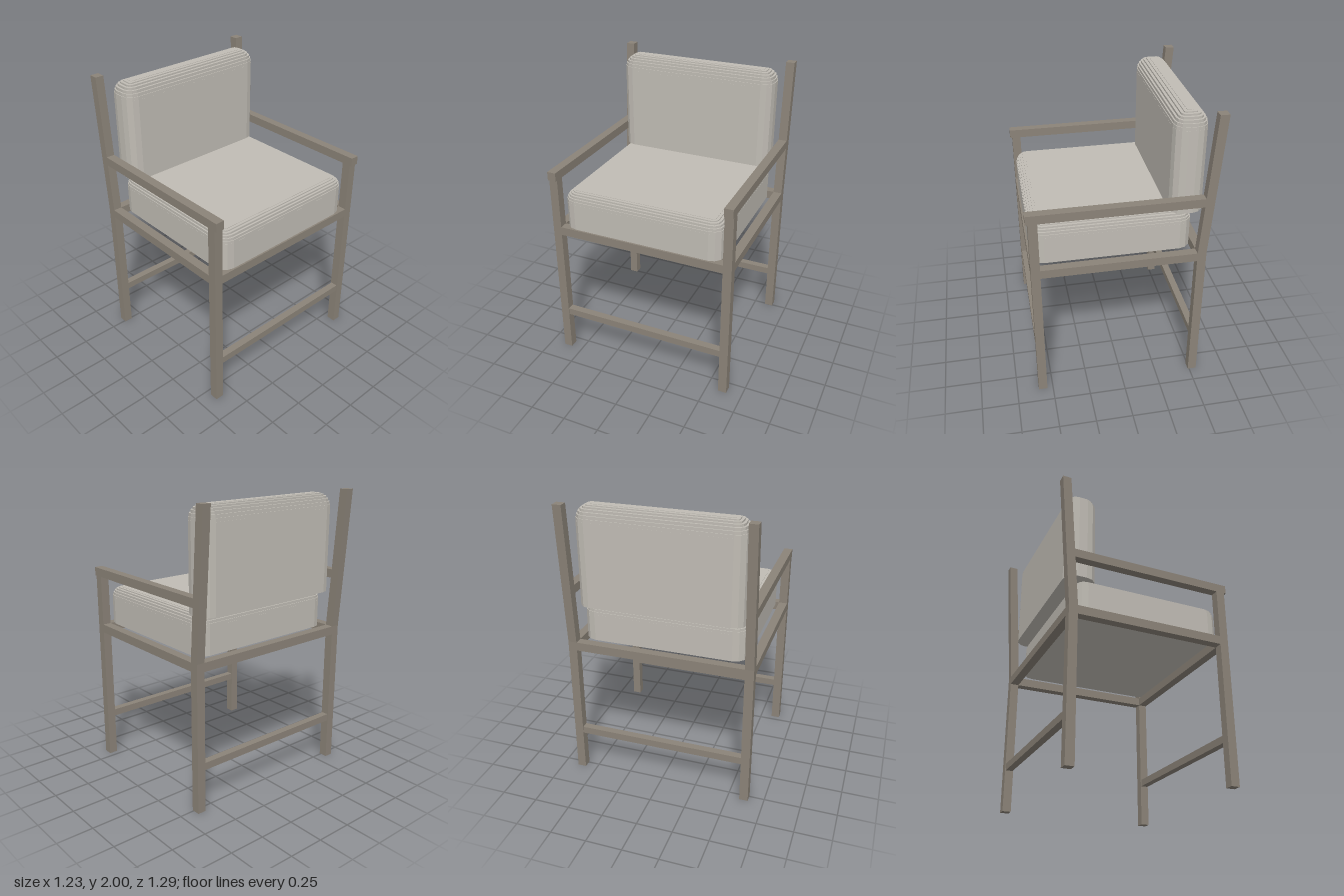
import * as THREE from 'three';
import { mergeGeometries } from 'three/addons/utils/BufferGeometryUtils.js';

const T = 0.06;          // bar thickness
const SIDE_Z = 0.614;    // centre of each side frame
const BACK_X = -0.52, FRONT_X = 0.57;

// Rounded rectangle outline with three facets per corner, in x / z
function outline(x0, x1, halfZ, r) {
  const pts = [];
  const corners = [[x1 - r, halfZ - r], [x0 + r, halfZ - r], [x0 + r, r - halfZ], [x1 - r, r - halfZ]];
  corners.forEach(([cx, cz], k) => {
    for (let i = 0; i <= 3; i++) {
      const a = (k + i / 3) * Math.PI / 2;
      pts.push(new THREE.Vector2(cx + r * Math.cos(a), cz + r * Math.sin(a)));
    }
  });
  return new THREE.Shape(pts);
}

// Upright slab of the outline between two heights
function slab(shape, y0, y1) {
  const geo = new THREE.ExtrudeGeometry(shape, { depth: y1 - y0, bevelEnabled: false });
  geo.rotateX(-Math.PI / 2);
  geo.translate(0, y0, 0);
  return geo;
}

// Cushion: straight body topped by thin layers stepping inwards along a quarter circle
function cushionGeometry(x0, x1, halfZ, y0, y1, corner, round, steps) {
  const shoulder = y1 - round;
  const layers = [slab(outline(x0, x1, halfZ, corner), y0, shoulder)];
  for (let i = 0; i < steps; i++) {
    const a0 = i / steps * Math.PI / 2, a1 = (i + 1) / steps * Math.PI / 2;
    const inset = round * (1 - Math.cos((a0 + a1) / 2));
    const r = Math.max(corner - inset, 0.012);
    layers.push(slab(outline(x0 + inset, x1 - inset, halfZ - inset, r),
      shoulder + round * Math.sin(a0), shoulder + round * Math.sin(a1)));
  }
  return mergeGeometries(layers);
}

export function createModel() {
  const chair = new THREE.Group();
  chair.name = 'armchair';

  const frameMat = new THREE.MeshStandardMaterial({ color: 0x8b8378 });
  frameMat.name = 'frame taupe';
  const cushionMat = new THREE.MeshStandardMaterial({ color: 0xc0bcb4 });
  cushionMat.name = 'cushion light grey';

  const add = (name, geo, mat) => {
    const mesh = new THREE.Mesh(geo, mat);
    mesh.name = name;
    chair.add(mesh);
    return mesh;
  };
  // Box given by its limits in x and y, with centre and width in z
  const bar = (name, x0, x1, y0, y1, z, w) =>
    add(name, new THREE.BoxGeometry(x1 - x0, y1 - y0, w), frameMat)
      .position.set((x0 + x1) / 2, (y0 + y1) / 2, z);

  // Side frames: legs, leaning back post, seat rail and armrest
  const postShape = new THREE.Shape([
    new THREE.Vector2(-0.55, 1.03), new THREE.Vector2(-0.49, 1.03),
    new THREE.Vector2(-0.557, 2), new THREE.Vector2(-0.617, 2),
  ]);
  for (const [side, s] of [['left', -1], ['right', 1]]) {
    const z = s * SIDE_Z;
    bar(side + 'BackLeg', BACK_X - T / 2, BACK_X + T / 2, 0, 1.03, z, T);
    bar(side + 'FrontLeg', FRONT_X - T / 2, FRONT_X + T / 2, 0, 1.38, z, T);
    bar(side + 'SeatRail', BACK_X + T / 2, FRONT_X - T / 2, 0.97, 1.03, z, T);
    bar(side + 'Armrest', -0.54, 0.615, 1.38, 1.44, z, T);
    const post = new THREE.ExtrudeGeometry(postShape, { depth: T, bevelEnabled: false });
    post.translate(0, 0, z - T / 2);
    add(side + 'BackPost', post, frameMat);
  }

  // Cross rails under the seat and stretchers between the legs
  const span = 2 * SIDE_Z - T;
  for (const [end, x] of [['back', BACK_X], ['front', FRONT_X]]) {
    bar(end + 'SeatRail', x - T / 2, x + T / 2, 0.97, 1.03, 0, span);
    bar(end + 'Stretcher', x - 0.025, x + 0.025, 0.295, 0.345, 0, span);
  }

  // Cushions
  add('seatCushion', cushionGeometry(-0.472, 0.588, 0.563, 1.03, 1.295, 0.085, 0.075, 6), cushionMat);
  add('backCushion', cushionGeometry(-0.54, -0.32, 0.563, 1.297, 1.975, 0.08, 0.1, 7), cushionMat);

  return chair;
}
